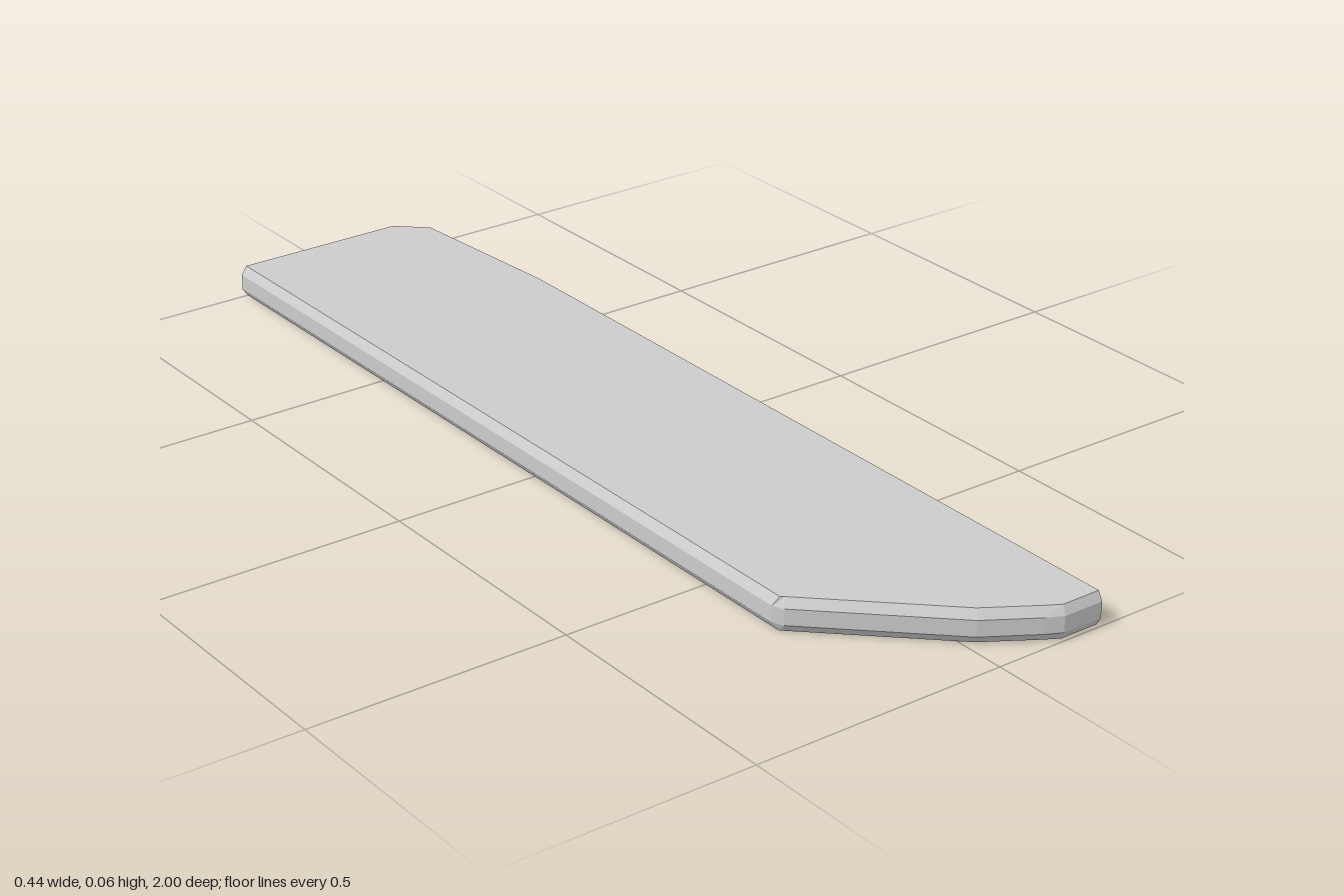
import * as THREE from 'three';

// Plank outline, counterclockwise from above: x, z, then the bevel inset in x and z
const OUTLINE = [
  [-0.222, -1.0, 0.011, 0],
  [-0.222, 0.69, 0.011, 0.006],
  [-0.212, 0.71, 0.008, -0.008],
  [0.015, 0.926, 0.006, -0.01],
  [0.11, 0.985, 0.005, -0.01],
  [0.14, 1.0, 0.003, -0.009],
  [0.222, 1.0, 0, -0.009],
  [0.222, -0.6, 0, 0],
  [0.205, -0.95, -0.011, 0.004],
  [0.145, -1.0, -0.007, 0],
];

// Height of each ring and whether it is inset for the bevel
const RINGS = [[0, 1], [0.016, 0], [0.047, 0], [0.064, 1]];

function plankGeometry() {
  const n = OUTLINE.length;
  const positions = [];
  const index = [];
  for (const [y, inset] of RINGS) {
    for (const [x, z, dx, dz] of OUTLINE) positions.push(x + dx * inset, y, z + dz * inset);
  }
  // Bevelled sides
  for (let r = 0; r < RINGS.length - 1; r++) {
    for (let i = 0; i < n; i++) {
      const a = r * n + i;
      const b = r * n + (i + 1) % n;
      index.push(a, b, b + n, a, b + n, a + n);
    }
  }
  // Flat bottom and top
  const top = (RINGS.length - 1) * n;
  for (let i = 1; i < n - 1; i++) {
    index.push(0, i + 1, i);
    index.push(top, top + i, top + i + 1);
  }
  const geometry = new THREE.BufferGeometry();
  geometry.setAttribute('position', new THREE.Float32BufferAttribute(positions, 3));
  geometry.setIndex(index);
  const faceted = geometry.toNonIndexed();
  faceted.computeVertexNormals();
  return faceted;
}

export function createModel() {
  const group = new THREE.Group();
  group.name = 'bevelledPlank';
  const material = new THREE.MeshStandardMaterial({ color: 0xcccccc, flatShading: true });
  const plank = new THREE.Mesh(plankGeometry(), material);
  plank.name = 'plank';
  group.add(plank);
  return group;
}
